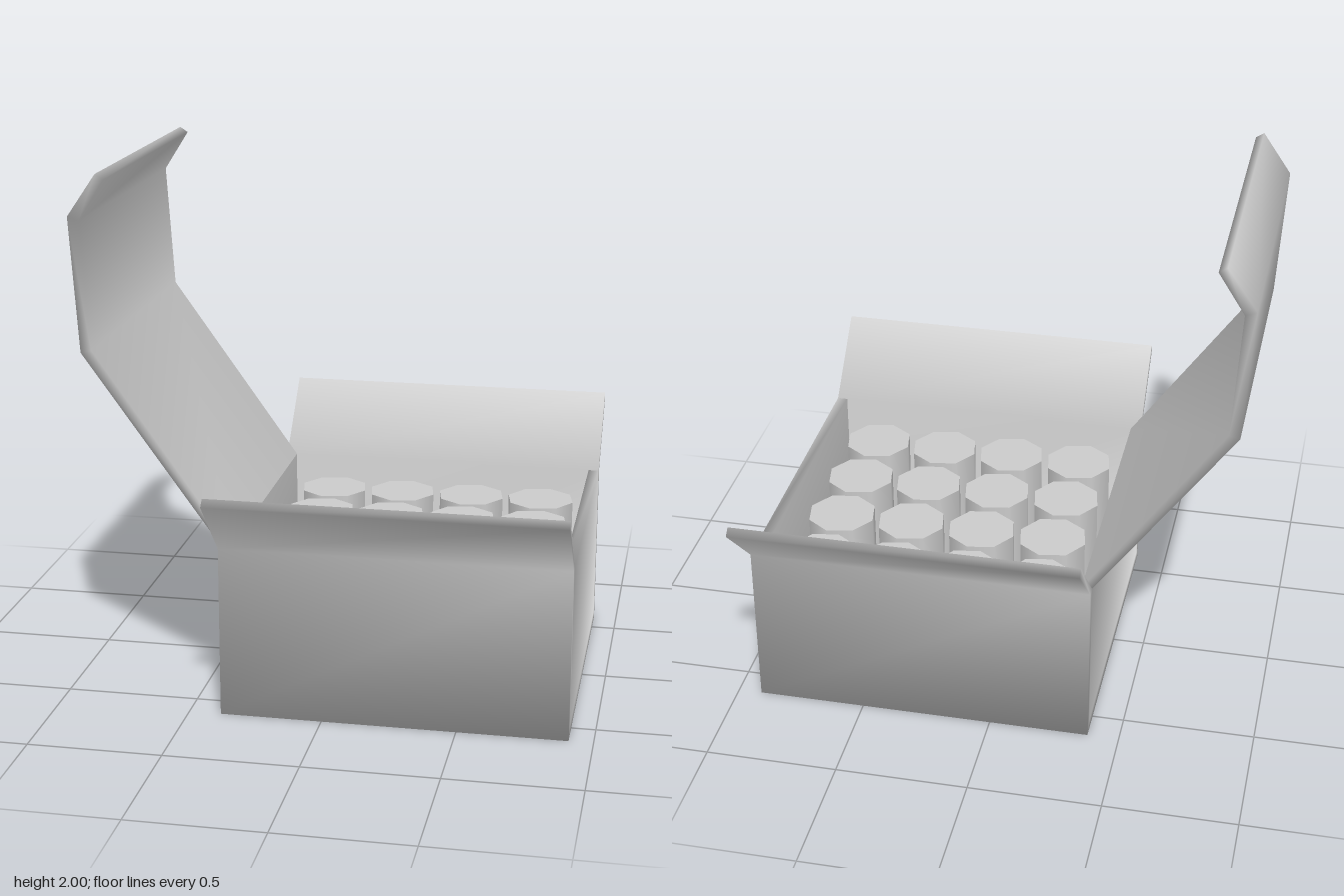
import * as THREE from 'three';
import { mergeGeometries, mergeVertices } from 'three/addons/utils/BufferGeometryUtils.js';

const material = new THREE.MeshStandardMaterial({ color: 0xcccccc });

// Weld all corners so the shading rolls softly over the edges.
function weld(geometries) {
  const bare = geometries.map((g) => {
    const flat = g.index ? g.toNonIndexed() : g;
    flat.deleteAttribute('uv');
    flat.deleteAttribute('normal');
    return flat;
  });
  const welded = mergeVertices(mergeGeometries(bare), 1e-3);
  welded.computeVertexNormals();
  return welded;
}

function extrude(points, depth) {
  const shape = new THREE.Shape(points.map(([x, y]) => new THREE.Vector2(x, y)));
  const g = new THREE.ExtrudeGeometry(shape, { depth, bevelEnabled: false });
  return g.translate(0, 0, -depth / 2);
}

function addMesh(parent, name, geometry) {
  const mesh = new THREE.Mesh(geometry, material);
  mesh.name = name;
  parent.add(mesh);
  return mesh;
}

export function createModel() {
  const group = new THREE.Group();
  group.name = 'openCarton';
  const x0 = -0.38, x1 = 0.91, wall = 0.04, rim = 0.65;
  const midX = (x0 + x1) / 2;

  // Carton: floor, two long walls and their folded-out flaps in one profile
  const half = [[0.615, 0], [0.615, rim], [0.85, 0.885], [0.825, 0.91], [0.575, rim], [0.575, wall]];
  const mirrored = half.map(([x, y]) => [-x, y]).reverse();
  const body = extrude([...half, ...mirrored], x1 - x0).rotateY(Math.PI / 2).translate(midX, 0, 0);

  // Short end walls between the long ones
  const ends = [x0 + wall / 2, x1 - wall / 2].map((x) =>
    new THREE.BoxGeometry(wall, rim - wall, 1.15).translate(x, (rim + wall) / 2, 0));
  addMesh(group, 'carton', weld([body, ...ends]));

  // Lid: bent sheet hinged on the short wall
  addMesh(group, 'lid', weld([extrude([
    [-0.34, 0.65], [-0.845, 1.36], [-0.875, 1.83], [-0.78, 1.98],
    [-0.81, 2.0], [-0.917, 1.845], [-0.885, 1.35], [-0.38, 0.65],
  ], 1.15)]));

  // Four by four cans standing on the floor
  const cans = new THREE.Group();
  cans.name = 'cans';
  group.add(cans);
  const top = 0.565;
  const can = new THREE.CylinderGeometry(0.134, 0.134, top - wall, 8, 1, false, 0.576);
  for (let i = 0; i < 4; i++) {
    for (let j = 0; j < 4; j++) {
      addMesh(cans, 'can', can).position.set(-0.152 + i * 0.281, (top + wall) / 2, -0.428 + j * 0.28);
    }
  }
  return group;
}
